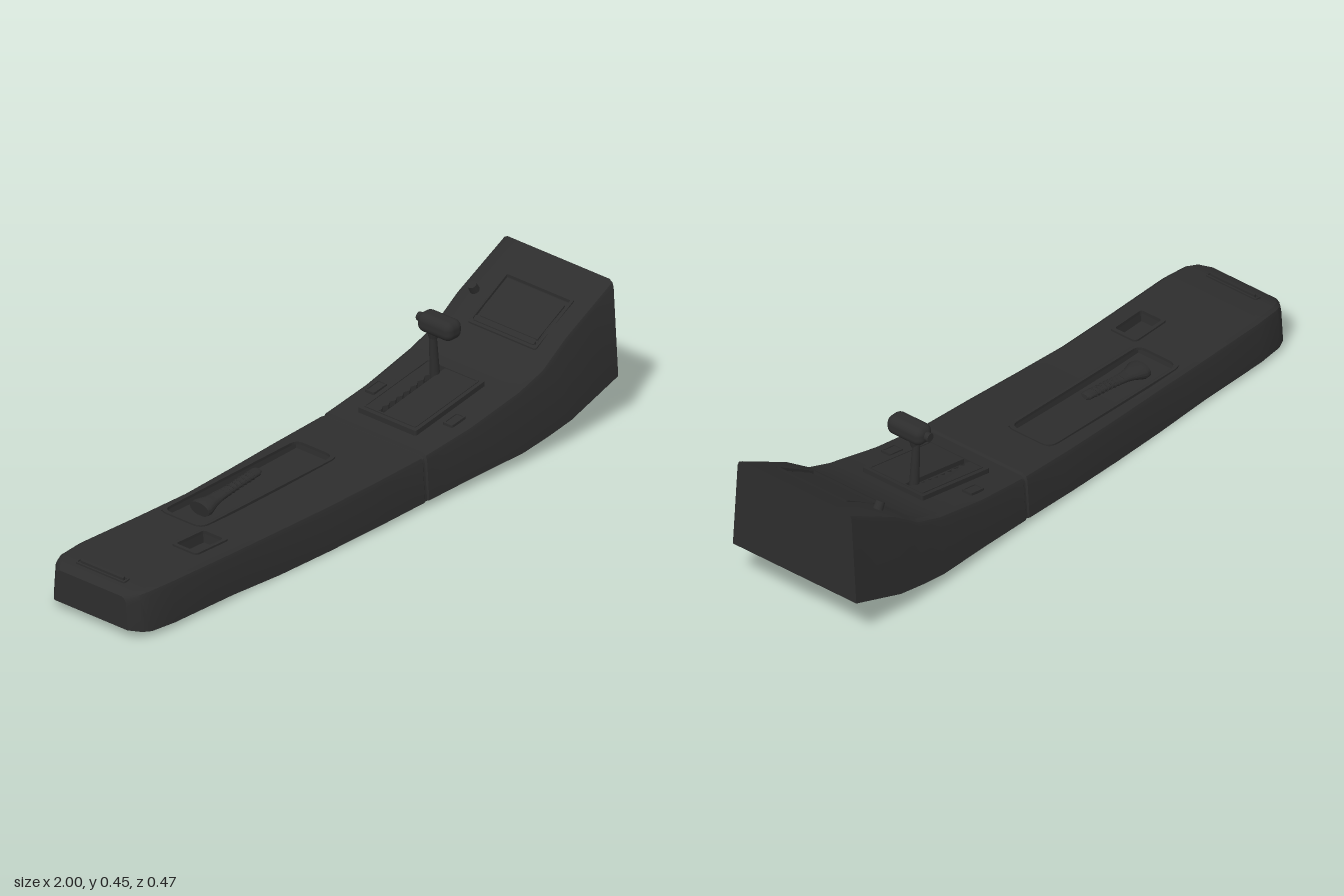
import * as THREE from 'three';
import { toCreasedNormals } from 'three/addons/utils/BufferGeometryUtils.js';
import { RoundedBoxGeometry } from 'three/addons/geometries/RoundedBoxGeometry.js';

// stations along the body: x, bottom y, top y, half width
const PROFILE = [
  [-1, 0.032, 0.135, 0.145], [-0.97, 0.026, 0.148, 0.175], [-0.94, 0.022, 0.153, 0.187],
  [-0.85, 0.02, 0.155, 0.195], [-0.6, 0.016, 0.15, 0.194], [-0.4, 0.006, 0.148, 0.194],
  [-0.2, 0.01, 0.153, 0.202], [0, 0.017, 0.161, 0.209], [0.2, 0.024, 0.17, 0.212],
  [0.4, 0.034, 0.196, 0.22], [0.6, 0.042, 0.24, 0.23], [0.7, 0.057, 0.275, 0.233],
  [0.8, 0.077, 0.345, 0.236], [1, 0.147, 0.452, 0.237],
];
// sunken areas of the deck: x0, x1, z0, z1, depth
const RECESSES = [
  [-0.54, 0.04, -0.15, 0.01, 0.022], [-0.68, -0.55, 0.03, 0.12, 0.035],
  [0.74, 0.9, -0.11, 0.15, 0.008], [0.285, 0.555, -0.06, -0.035, 0.03],
];
const EDGE = 0.004;
const SEAM = [0.2, 0.205, 0.213, 0.218];

function sample(x, k) {
  let i = 1;
  while (i < PROFILE.length - 1 && PROFILE[i][0] < x) i++;
  const a = PROFILE[i - 1], b = PROFILE[i];
  return THREE.MathUtils.lerp(a[k], b[k], (x - a[0]) / (b[0] - a[0]));
}
const deckY = (x) => sample(x, 2);
const sorted = (list) => [...new Set(list.map((v) => +v.toFixed(4)))].sort((a, b) => a - b);

const XS = sorted([...PROFILE.map((p) => p[0]), ...SEAM,
  ...RECESSES.flatMap(([a, b]) => [a, a + EDGE, b - EDGE, b])]);
const ZS = sorted(RECESSES.flatMap(([, , a, b]) => [a, a + EDGE, b - EDGE, b]));

// open cross-section [z, y], running over the top from side to side
function section(x) {
  const groove = x > SEAM[0] + 0.001 && x < SEAM[3] - 0.001 ? 0.008 : 0;
  const b = sample(x, 1), t = deckY(x) - groove, hw = sample(x, 3) - groove / 2;
  const ht = hw - 0.06 * (t - b);
  const side = [[hw, b], [ht, t - 0.02], [ht - 0.005, t - 0.007], [ht - 0.017, t]];
  const squeeze = Math.min(1, (ht - 0.02) / 0.155);
  const deck = ZS.map((z) => {
    const r = RECESSES.find(([x0, x1, z0, z1]) => x > x0 + 0.002 && x < x1 - 0.002 && z > z0 + 0.002 && z < z1 - 0.002);
    return [z * squeeze, t - (r ? r[4] : 0)];
  });
  return [...side.map(([z, y]) => [-z, y]), ...deck, ...side.reverse()];
}

function shellGeometry() {
  const pos = [], idx = [], n = section(0).length;
  XS.forEach((x, i) => {
    section(x).forEach(([z, y], j) => {
      pos.push(x, y, z);
      if (i && j) {
        const d = i * n + j, c = d - 1, b = d - n, a = b - 1;
        idx.push(a, b, d, a, d, c);
      }
    });
  });
  const g = new THREE.BufferGeometry();
  g.setAttribute('position', new THREE.Float32BufferAttribute(pos, 3));
  g.setIndex(idx);
  return toCreasedNormals(g, 0.5);
}

// flat wall filling the cross-section at x
function wallGeometry(x) {
  const s = section(x);
  const outline = [...s.slice(0, 4), ...s.slice(-4)].map(([z, y]) => new THREE.Vector2(z, y));
  return new THREE.ShapeGeometry(new THREE.Shape(outline)).rotateY(-Math.PI / 2).translate(x, 0, 0);
}

function roundRect(path, x0, x1, z0, z1, r) {
  const a = -z1, b = -z0;
  path.moveTo(x0 + r, a).lineTo(x1 - r, a).quadraticCurveTo(x1, a, x1, a + r);
  path.lineTo(x1, b - r).quadraticCurveTo(x1, b, x1 - r, b);
  path.lineTo(x0 + r, b).quadraticCurveTo(x0, b, x0, b - r);
  path.lineTo(x0, a + r).quadraticCurveTo(x0, a, x0 + r, a);
  return path;
}

// extrude a plan shape upwards and lay it on the deck
function drape(shape, height, lift = 0) {
  const g = new THREE.ExtrudeGeometry(shape, { depth: height, bevelEnabled: false, curveSegments: 6 });
  g.rotateX(-Math.PI / 2);
  const p = g.attributes.position;
  for (let i = 0; i < p.count; i++) p.setY(i, p.getY(i) + deckY(p.getX(i)) + lift);
  g.computeVertexNormals();
  return g;
}

function frame(x0, x1, z0, z1, r, w, h) {
  const s = roundRect(new THREE.Shape(), x0 - w / 2, x1 + w / 2, z0 - w / 2, z1 + w / 2, r + w / 2);
  s.holes.push(roundRect(new THREE.Path(), x0 + w / 2, x1 - w / 2, z0 + w / 2, z1 - w / 2, r));
  return drape(s, h + 0.004, -0.004);
}

export function createModel() {
  const root = new THREE.Group();
  const plastic = new THREE.MeshStandardMaterial({ color: 0x2d2d2d, side: THREE.DoubleSide });
  plastic.name = 'charcoal plastic';
  const add = (name, geometry, parent = root) => {
    const m = new THREE.Mesh(geometry, plastic);
    m.name = name;
    parent.add(m);
    return m;
  };

  // hollow body, open underneath
  add('bodyShell', shellGeometry());
  add('tailWall', wallGeometry(-1));
  add('bulkhead', wallGeometry(0.209));
  add('endWall', wallGeometry(1));

  // rims round the sunken areas
  add('brakeTrayRim', frame(-0.54, 0.04, -0.15, 0.01, 0.03, 0.012, 0.005));
  add('pocketRim', frame(-0.68, -0.55, 0.03, 0.12, 0.01, 0.012, 0.006));
  add('panelRim', frame(0.74, 0.9, -0.11, 0.15, 0.004, 0.01, 0.005));
  add('panelCover', drape(roundRect(new THREE.Shape(), 0.765, 0.885, -0.095, 0.135, 0.004), 0.006, -0.008));
  add('panelHandle', drape(roundRect(new THREE.Shape(), 0.742, 0.756, -0.1, 0.14, 0.004), 0.016, -0.008));

  // shift gate with toothed slot
  const plate = roundRect(new THREE.Shape(), 0.27, 0.57, -0.12, 0.11, 0.008);
  const slot = new THREE.Path().moveTo(0.285, 0.035).lineTo(0.555, 0.035);
  for (let i = 0; i <= 18; i++) slot.lineTo(0.555 - i * 0.015, i % 2 ? 0.052 : 0.062);
  plate.holes.push(slot);
  add('shiftGate', drape(plate, 0.016));
  add('shiftGateRim', frame(0.285, 0.555, -0.105, 0.095, 0.004, 0.005, 0.019));
  add('shiftMechanismBox', new THREE.BoxGeometry(0.28, 0.02, 0.23).rotateZ(0.16).translate(0.42, 0.158, 0));

  // shift lever
  const shifter = new THREE.Group();
  shifter.name = 'shiftLever';
  root.add(shifter);
  const stem = add('leverStem', new THREE.CylinderGeometry(0.011, 0.016, 0.19, 16), shifter);
  stem.position.set(0.516, 0.295, -0.045);
  stem.rotation.z = 0.07;
  add('leverCollar', new THREE.CylinderGeometry(0.022, 0.014, 0.03, 16).translate(0.509, 0.376, -0.04), shifter);
  add('leverKnob', new RoundedBoxGeometry(0.068, 0.062, 0.135, 4, 0.025).translate(0.507, 0.41, -0.015), shifter);
  add('leverButton', new THREE.CylinderGeometry(0.014, 0.014, 0.02, 16).rotateX(Math.PI / 2).translate(0.507, 0.412, -0.086), shifter);

  // switches beside the gate
  for (const z of [-0.16, 0.15]) {
    add('gateSwitch', drape(roundRect(new THREE.Shape(), 0.365, 0.42, z - 0.016, z + 0.016, 0.004), 0.005));
    add('gateSwitchRim', frame(0.365, 0.42, z - 0.016, z + 0.016, 0.004, 0.006, 0.008));
  }

  // parking brake: wide boot end, ribbed grip rising towards the front
  const brake = new THREE.Group();
  brake.name = 'parkingBrake';
  brake.position.set(-0.455, 0.148, -0.075);
  brake.rotation.z = 0.13;
  root.add(brake);
  const outline = [[0, 0], [0.038, 0], [0.04, 0.015], [0.027, 0.05], [0.021, 0.08], [0.017, 0.15], [0.019, 0.245], [0.012, 0.255], [0, 0.256]];
  const grip = new THREE.LatheGeometry(outline.map(([r, y]) => new THREE.Vector2(r, y)), 20);
  grip.rotateZ(-Math.PI / 2).scale(1, 0.6, 1);
  add('brakeGrip', toCreasedNormals(grip, 0.6), brake);
  for (let i = 0; i < 8; i++) {
    const rib = new THREE.TorusGeometry(0.0185, 0.002, 6, 16).rotateY(Math.PI / 2).scale(1, 0.62, 1);
    add('gripRib', rib.translate(0.1 + i * 0.017, 0, 0), brake);
  }

  // push button on the slope
  const knob = add('slopeButton', new THREE.CylinderGeometry(0.014, 0.016, 0.036, 18));
  knob.position.set(0.817, deckY(0.817) + 0.008, -0.165);
  knob.rotation.z = 0.5;

  // tail vent
  add('tailVentRim', frame(-0.955, -0.935, -0.1, 0.09, 0.004, 0.005, 0.005));
  add('tailVentFlap', drape(roundRect(new THREE.Shape(), -0.95, -0.94, -0.09, 0.08, 0.003), 0.01));

  return root;
}
